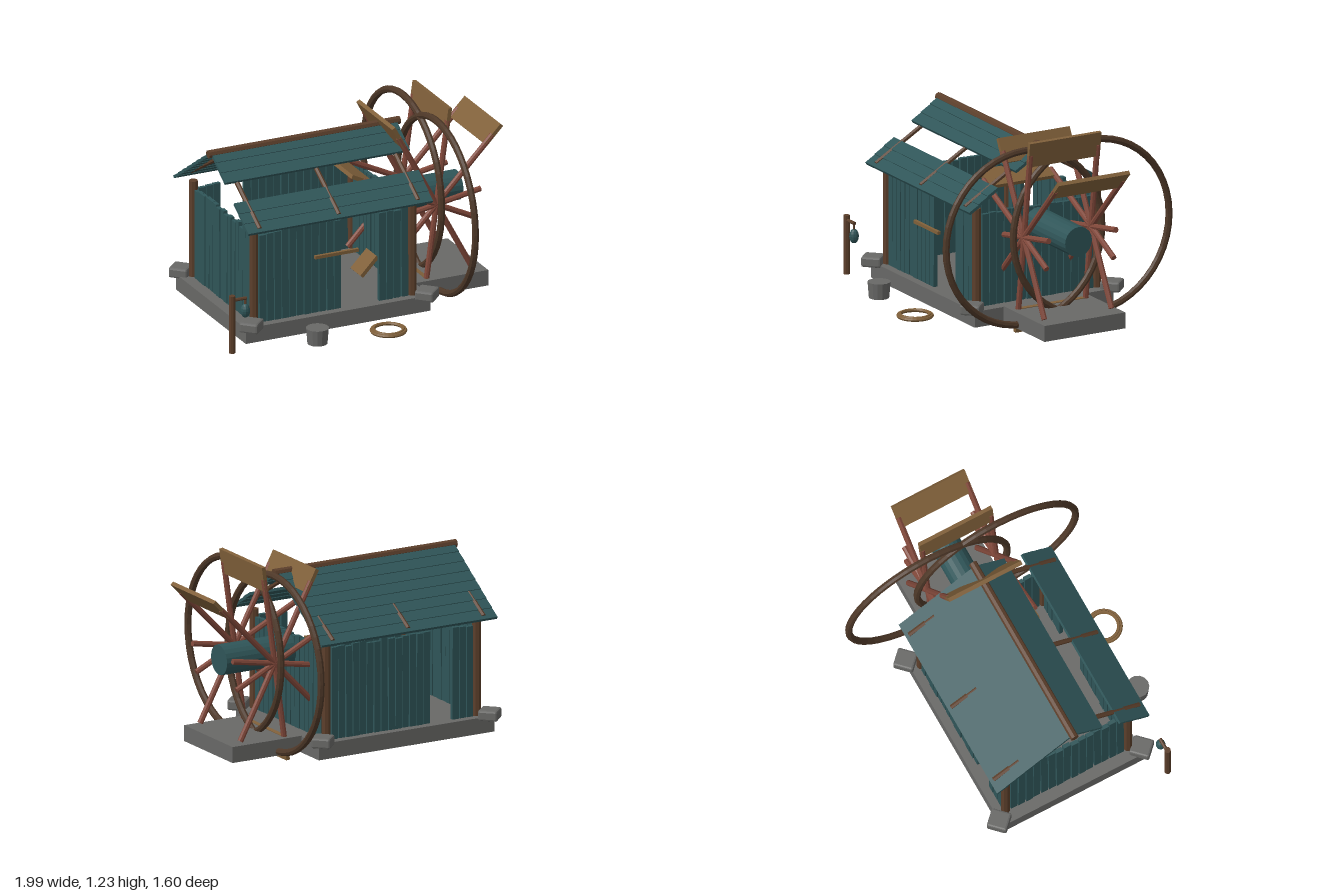
import * as THREE from 'three';
import { RoundedBoxGeometry } from 'three/addons/geometries/RoundedBoxGeometry.js';

const mat = (name, color) => {
  const m = new THREE.MeshStandardMaterial({ color, flatShading: true });
  m.name = name;
  return m;
};

export function createModel() {
  const model = new THREE.Group();
  model.name = 'waterMill';
  const teal = mat('tealPlank', 0x2f5558);
  const brown = mat('brownTimber', 0x5c3f2b);
  const dark = mat('darkTimber', 0x4e3828);
  const red = mat('redTimber', 0x81483a);
  const tan = mat('tanBoard', 0x80603a);
  const grey = mat('stone', 0x686866);

  let seed = 7;
  const jitter = (a) => {
    seed = (seed * 16807) % 2147483647;
    return (seed / 2147483647 - 0.5) * 2 * a;
  };
  const group = (name, parent = model) => {
    const g = new THREE.Group();
    g.name = name;
    parent.add(g);
    return g;
  };
  const add = (name, geo, material, x, y, z, parent = model) => {
    const m = new THREE.Mesh(geo, material);
    m.name = name;
    m.position.set(x, y, z);
    parent.add(m);
    return m;
  };
  const box = (name, material, w, h, d, x, y, z, parent) =>
    add(name, new THREE.BoxGeometry(w, h, d), material, x, y, z, parent);
  // Round pole between two points
  const pole = (name, material, r, a, b, parent, sides = 8) => {
    const p = new THREE.Vector3(...a), q = new THREE.Vector3(...b);
    const m = add(name, new THREE.CylinderGeometry(r, r, p.distanceTo(q), sides), material, 0, 0, 0, parent);
    m.position.copy(p).add(q).multiplyScalar(0.5);
    m.quaternion.setFromUnitVectors(new THREE.Vector3(0, 1, 0), q.sub(p).normalize());
    return m;
  };

  // Foundations
  box('hutFloor', grey, 1.235, 0.1, 0.97, -0.2275, 0.11, 0);
  box('wheelFloor', grey, 0.49, 0.1, 0.565, 0.63, 0.115, 0);

  // Corner posts and footing stones
  for (const sz of [1, -1]) {
    for (const x of [-0.76, 0.3]) {
      pole('cornerPost', brown, 0.028, [x, 0.15, sz * 0.42], [x, 0.78, sz * 0.42]);
    }
    for (const x of [-0.81, 0.365]) {
      const stone = add('cornerStone', new RoundedBoxGeometry(0.125, 0.065, 0.12, 1, 0.012), grey, x, 0.177, sz * 0.49);
      stone.rotation.y = Math.PI / 4;
    }
  }

  // Plank walls, each leaving out the planks listed as missing
  const wall = (name, count, pitch, missing, place) => {
    const g = group(name);
    for (let i = 0; i < count; i++) {
      const h = 0.575 + jitter(0.012), w = pitch * 0.88, lean = jitter(0.008);
      if (missing.includes(i)) continue;
      const plank = box('wallPlank', teal, w, h, 0.025, (i - (count - 1) / 2) * pitch, 0.16 + h / 2, jitter(0.003), g);
      plank.rotation.z = lean;
    }
    place(g);
  };
  wall('frontWall', 20, 0.05, [11, 12, 13, 14, 15], (g) => g.position.set(-0.23, 0, 0.42));
  wall('backWall', 20, 0.05, [3, 4, 5], (g) => g.position.set(-0.23, 0, -0.42));
  for (const x of [-0.76, 0.3]) {
    wall('sideWall', 15, 0.052, [], (g) => {
      g.position.set(x, 0, 0);
      g.rotation.y = Math.PI / 2;
    });
  }
  box('frontRail', tan, 0.29, 0.02, 0.02, -0.225, 0.53, 0.458);

  // Roof: ridge, rafters and lapped boards with two missing at the front
  const roof = group('roof');
  pole('ridgeBeam', brown, 0.026, [-0.865, 1.12, 0], [0.415, 1.12, 0], roof);
  const pitch = Math.atan(0.667);
  for (const s of [1, -1]) {
    for (const x of [-0.76, -0.23, 0.3]) {
      pole('rafter', brown, 0.015, [x, 1.095, 0], [x, 0.8, s * 0.5], roof, 6);
    }
    for (let i = 0; i < 8; i++) {
      if (s > 0 && (i === 3 || i === 4)) continue;
      const z = 0.0325 + i * 0.0645;
      const board = box('roofBoard', teal, 1.235, 0.018, 0.083, -0.2275, 1.125 - z * 0.667, s * z, roof);
      board.rotation.x = s * (pitch - 0.06);
    }
  }

  // Water wheel: hub drum, two rims, paired spokes with paddles
  const wheel = group('waterWheel');
  wheel.position.set(0.55, 0.632, 0);
  pole('hubDrum', teal, 0.094, [-0.25, 0, 0], [0.25, 0, 0], wheel, 20);
  for (const s of [1, -1]) {
    const rim = add('rim', new THREE.TorusGeometry(0.545, 0.022, 8, 48), dark, 0, 0, s * 0.235, wheel);
    rim.rotation.y = Math.PI / 2;
  }
  // [spoke length, paddle width, paddle centre]
  const spokes = [
    [0.3, 0, 0], [0.54, 0.5, 0], [0.54, 0.5, 0], [0.54, 0.5, 0], [0.54, 0.45, 0],
    [0.25, 0, 0], [0.53, 0.14, 0.025], [0.54, 0.5, 0], [0.515, 0, 0], [0.3, 0, 0],
  ];
  spokes.forEach(([length, width, centre], i) => {
    const arm = group('spokePair', wheel);
    arm.rotation.z = THREE.MathUtils.degToRad(10 + i * 36);
    for (const s of [1, -1]) pole('spoke', red, 0.018, [0, 0, s * 0.235], [length, 0, s * 0.235], arm);
    if (width) box('paddle', tan, 0.155, 0.025, width, 0.544, 0, centre, arm);
  });

  // Lantern on a post
  const lantern = group('lanternPost');
  pole('lanternPole', brown, 0.02, [-0.98, 0.06, 0.575], [-0.98, 0.43, 0.575], lantern);
  pole('lanternArm', brown, 0.011, [-0.98, 0.4, 0.575], [-0.885, 0.4, 0.575], lantern);
  pole('lanternHook', brown, 0.007, [-0.892, 0.4, 0.575], [-0.892, 0.35, 0.575], lantern, 6);
  add('lantern', new THREE.SphereGeometry(0.03, 10, 8), teal, -0.892, 0.32, 0.575, lantern).scale.y = 1.5;

  // Bucket and rope coil on the ground
  add('bucket', new THREE.CylinderGeometry(0.07, 0.062, 0.1, 14), grey, -0.45, 0.112, 0.66);
  [0.103, 0.09].forEach((r, i) => {
    const coil = add('ropeCoil', new THREE.TorusGeometry(r, 0.011, 6, 28), tan, 0.015, 0.072 + i * 0.006, 0.682);
    coil.rotation.x = Math.PI / 2;
  });
  return model;
}
